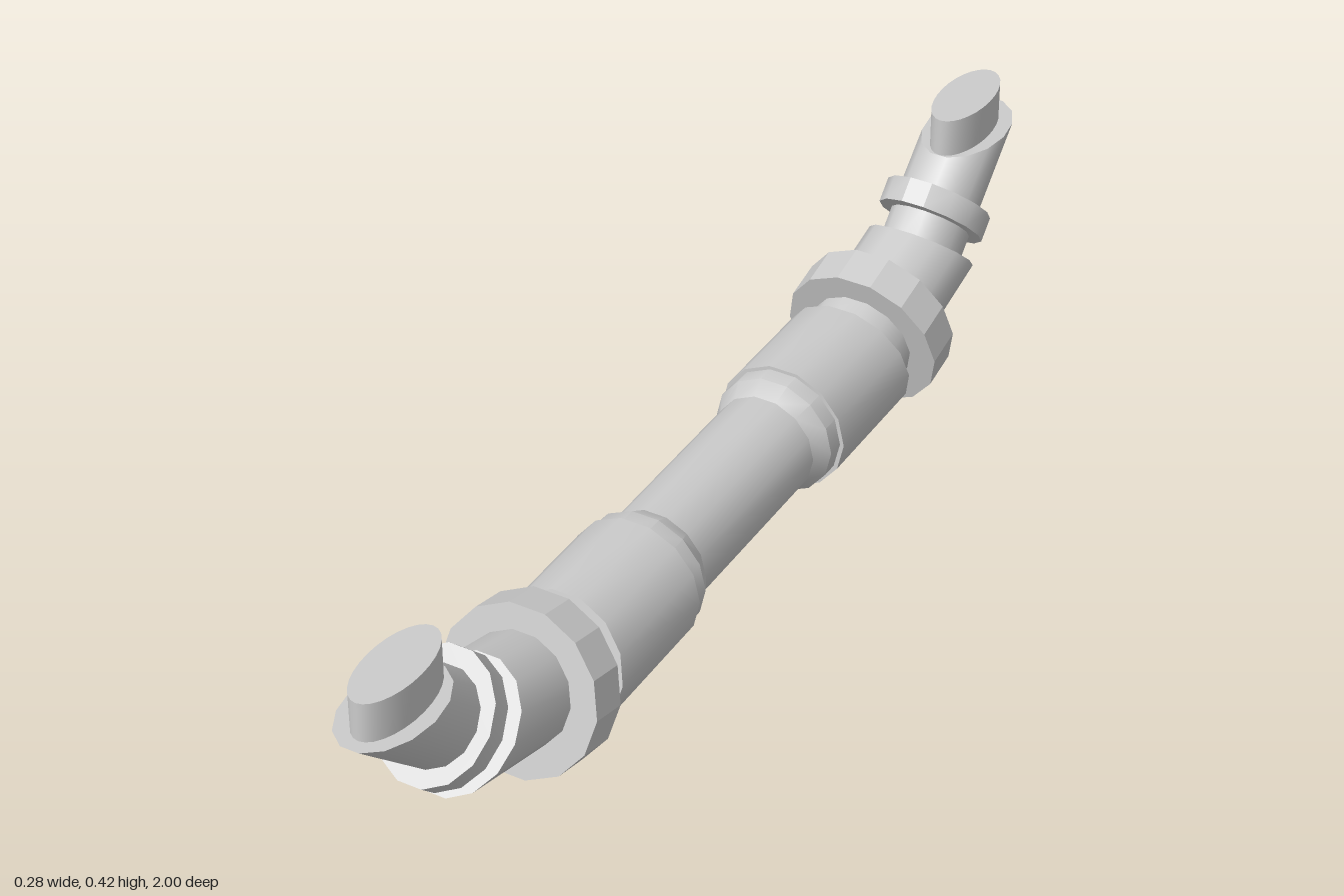
import * as THREE from 'three';
import { toCreasedNormals } from 'three/addons/utils/BufferGeometryUtils.js';

const material = new THREE.MeshStandardMaterial({ color: 0xcccccc });

// Lofts a capped tube through tilted rings. Each ring is
// [centre z, centre y, half-height along z, half-height along y, half-width in x].
function tube(name, rings, sides = 14, crease = 0.5) {
  const pos = [], index = [];
  const flat = Math.cos(Math.PI / sides); // the polygon is flat at top and bottom
  for (const [z, y, hz, hy, rx] of rings) {
    for (let i = 0; i < sides; i++) {
      const t = (i / sides) * Math.PI * 2;
      const s = Math.sin(t) / (sides % 4 ? flat : 1);
      pos.push(rx * Math.cos(t), y + hy * s, z + hz * s);
    }
  }
  const last = (rings.length - 1) * sides;
  for (let r = 0; r < last; r += sides) {
    for (let i = 0; i < sides; i++) {
      const j = (i + 1) % sides;
      index.push(r + i, r + j, r + sides + j, r + i, r + sides + j, r + sides + i);
    }
  }
  for (let i = 1; i < sides - 1; i++) {
    index.push(0, i + 1, i, last, last + i, last + i + 1);
  }
  const geo = new THREE.BufferGeometry();
  geo.setAttribute('position', new THREE.Float32BufferAttribute(pos, 3));
  geo.setIndex(index);
  const mesh = new THREE.Mesh(toCreasedNormals(geo, crease), material);
  mesh.name = name;
  return mesh;
}

// One curved end of the pipe, rising towards +z
function pipeEnd(name) {
  const end = new THREE.Group();
  end.name = name;
  end.add(
    tube('sleeveNeck', [
      [0.175, 0.127, 0, 0.088, 0.09],
      [0.205, 0.127, 0, 0.104, 0.107],
      [0.25, 0.127, 0, 0.104, 0.107],
    ]),
    tube('sleeve', [
      [0.235, 0.126, 0, 0.111, 0.114],
      [0.467, 0.126, -0.03, 0.111, 0.114],
    ]),
    // lower elbow, tilted 15 degrees, with a mitred end
    tube('lowerElbow', [
      [0.42, 0.111, -0.023, 0.088, 0.092],
      [0.73, 0.199, -0.078, 0.074, 0.092],
    ]),
    tube('collar', [
      [0.513, 0.134, -0.035, 0.134, 0.138],
      [0.58, 0.151, -0.035, 0.134, 0.138],
    ], 14, 0.3),
    // upper elbow at 45 degrees, cut level at the top
    tube('upperElbow', [
      [0.715, 0.185, -0.054, 0.054, 0.07],
      [0.776, 0.245, -0.054, 0.054, 0.07],
      [0.892, 0.352, -0.108, 0, 0.07],
    ]),
    tube('smallCollar', [
      [0.762, 0.231, -0.073, 0.075, 0.092],
      [0.793, 0.261, -0.073, 0.075, 0.092],
    ]),
    // oval plug standing on the level cut
    tube('endPlug', [
      [0.882, 0.345, -0.097, 0, 0.045],
      [0.882, 0.42, -0.097, 0, 0.045],
    ], 28),
  );
  return end;
}

export function createModel() {
  const model = new THREE.Group();
  model.name = 'curvedPipe';
  model.add(tube('centrePipe', [
    [-0.2, 0.127, 0, 0.088, 0.09],
    [0.2, 0.127, 0, 0.088, 0.09],
  ]));
  const front = pipeEnd('frontEnd');
  const back = pipeEnd('backEnd');
  back.rotation.y = Math.PI;
  model.add(front, back);
  return model;
}
